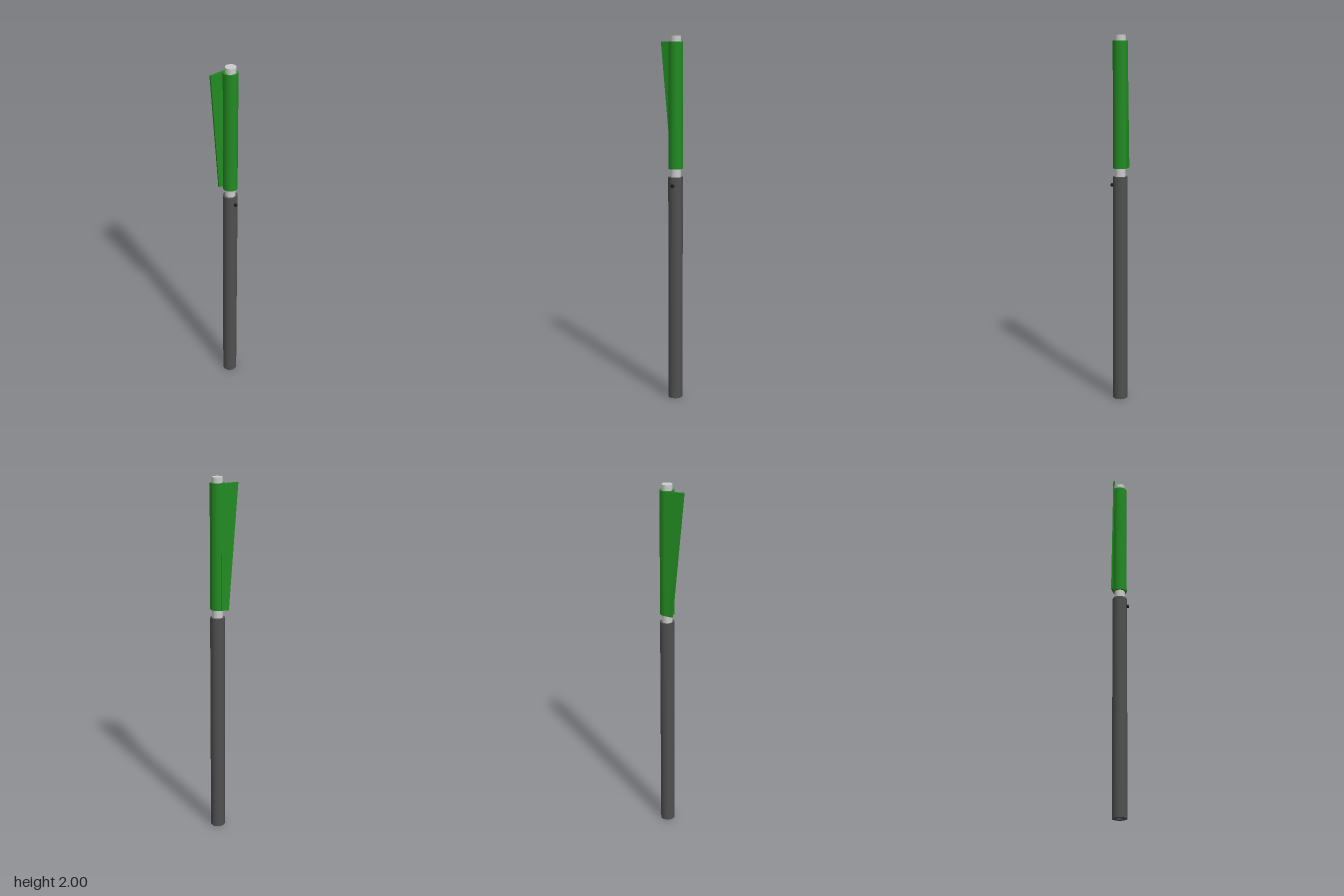
import * as THREE from 'three';

const GREEN = 0x228b22, CX = -0.002, CZ = -0.031, SIDES = 12;

function add(group, name, geometry, color, x = 0, y = 0, z = 0) {
  const material = new THREE.MeshStandardMaterial({ color });
  const mesh = new THREE.Mesh(geometry, material);
  mesh.name = name;
  mesh.position.set(x, y, z);
  group.add(mesh);
  return mesh;
}

// upright cylinder between two heights on the pole axis
function post(group, name, radius, y0, y1, color) {
  const g = new THREE.CylinderGeometry(radius, radius, y1 - y0, SIDES);
  return add(group, name, g, color, CX, (y0 + y1) / 2, CZ);
}

// tapered sheet: a box whose corners are moved to the given [x, z] outlines
function sheetGeometry(y0, y1, bottom, top) {
  const g = new THREE.BoxGeometry(1, 1, 1);
  const p = g.attributes.position;
  for (let i = 0; i < p.count; i++) {
    const up = p.getY(i) > 0;
    const corner = (p.getZ(i) > 0 ? 2 : 0) + (p.getX(i) > 0 ? 1 : 0);
    const [x, z] = (up ? top : bottom)[corner];
    p.setXYZ(i, x, up ? y1 : y0, z);
  }
  g.computeVertexNormals();
  return g;
}

export function createModel() {
  const group = new THREE.Group();
  group.name = 'rolledFlagOnPole';

  // pole showing above the handle and through the rolled cloth
  post(group, 'pole', 0.029, 1.2, 2, 0xcccccc);

  // handle with a small recess in its underside
  const path = [[0, 0.04], [0.018, 0.04], [0.018, 0.04], [0.018, 0], [0.018, 0], [0.04, 0],
    [0.04, 0], [0.04, 1.25], [0.04, 1.25], [0, 1.25]].map(([r, y]) => new THREE.Vector2(r, y));
  // one lathe per straight section keeps the rims sharp
  const handle = new THREE.Group();
  handle.name = 'handle';
  for (let i = 0; i < path.length - 1; i++) {
    if (path[i].equals(path[i + 1])) continue;
    const g = new THREE.LatheGeometry([path[i], path[i + 1]], SIDES);
    add(handle, 'handleSection', g, 0x505050, CX, 0, CZ);
  }
  group.add(handle);

  // rolled cloth and its loose end
  post(group, 'rolledCloth', 0.0395, 1.295, 1.97, GREEN);
  add(group, 'looseCloth', sheetGeometry(1.295, 1.97,
    [[-0.042, -0.031], [-0.034, -0.031], [-0.052, 0.01], [-0.043, 0.012]],
    [[-0.042, -0.031], [-0.034, -0.031], [-0.043, 0.07], [-0.034, 0.07]]), GREEN);

  // push button on the side of the handle
  const button = new THREE.CylinderGeometry(0.009, 0.009, 0.016, SIDES);
  button.rotateZ(-Math.PI / 2);
  button.rotateY(-0.3);
  add(group, 'button', button, 0x1c1c1c, 0.0395, 1.205, -0.031);

  return group;
}
